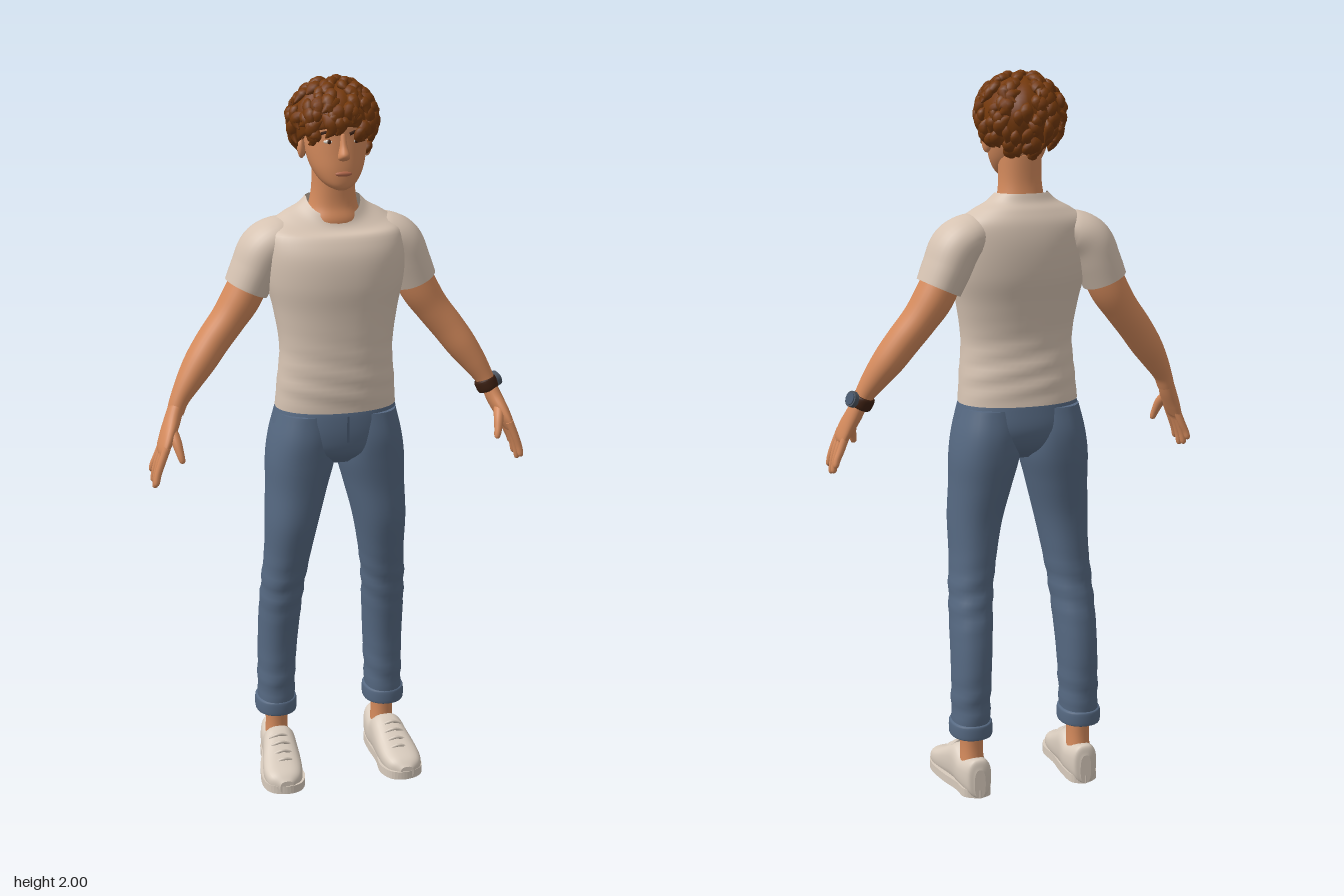
import * as THREE from 'three';

const V = (x, y, z) => new THREE.Vector3(x, y, z);
const mat = (name, color) => {
  const m = new THREE.MeshStandardMaterial({ color });
  m.name = name;
  return m;
};

// Smooth loft through rows [x, y, z, a, b, exponent]; b runs along ref, a across it.
// With axis the rings stay parallel, otherwise they follow the path.
function loft(rows, { axis, ref = V(0, 0, 1), sides = 28, steps = 6, caps = true, warp } = {}) {
  const path = new THREE.CatmullRomCurve3(rows.map(r => V(r[0], r[1], r[2])), false, 'catmullrom', 0.5);
  const size = new THREE.CatmullRomCurve3(rows.map(r => V(r[3], r[4], r[5] ?? 2)), false, 'catmullrom', 0.5);
  const n = (rows.length - 1) * steps, pos = [], idx = [];
  const along = axis?.clone();
  if (along && along.dot(path.points.at(-1).clone().sub(path.points[0])) < 0) along.negate();
  const bend = (c, e) => Math.sign(c) * Math.abs(c) ** (2 / e);
  for (let i = 0; i <= n; i++) {
    const c = path.getPoint(i / n), k = size.getPoint(i / n);
    const t = along ?? path.getTangent(i / n);
    const v = ref.clone().addScaledVector(t, -ref.dot(t)).normalize();
    const u = v.clone().cross(t);
    for (let j = 0; j < sides; j++) {
      const q = j / sides * Math.PI * 2;
      const p = c.clone().addScaledVector(u, k.x * bend(Math.cos(q), k.z)).addScaledVector(v, k.y * bend(Math.sin(q), k.z));
      if (warp) warp(p, c);
      pos.push(p.x, p.y, p.z);
      if (i < n) {
        const a = i * sides + j, b = i * sides + (j + 1) % sides;
        idx.push(a, b, b + sides, a, b + sides, a + sides);
      }
    }
  }
  if (caps) for (const end of [0, n]) {
    const base = pos.length / 3, c = path.getPoint(end / n);
    pos.push(...pos.slice(end * sides * 3, (end + 1) * sides * 3), c.x, c.y, c.z);
    for (let j = 0; j < sides; j++) {
      const a = base + j, b = base + (j + 1) % sides;
      idx.push(base + sides, ...(end ? [a, b] : [b, a]));
    }
  }
  const g = new THREE.BufferGeometry();
  g.setAttribute('position', new THREE.Float32BufferAttribute(pos, 3));
  g.setIndex(idx);
  g.computeVertexNormals();
  return g;
}

// Horizontal ring given by height, half width, front z and back z
const ring = (y, w, front, back, x = 0, e = 2.2) => [x, y, (front + back) / 2, w, (front - back) / 2, e];

export function createModel() {
  const model = new THREE.Group();
  const skin = mat('skin', 0xd48a5c), cloth = mat('shirt', 0xd6c3b2), denim = mat('denim', 0x566982);
  const hairMat = mat('hair', 0x74390c), shoeMat = mat('shoe', 0xd8cbbd), metal = mat('watch metal', 0x4c545f);
  const dark = mat('dark brown', 0x3c2012), white = mat('eye white', 0xe8e0d6), lip = mat('lips', 0xb4694c);
  const seam = mat('dark denim', 0x46566c);
  cloth.side = denim.side = THREE.DoubleSide;
  const UP = V(0, 1, 0);
  const add = (name, geo, m) => {
    const mesh = new THREE.Mesh(geo, m);
    mesh.name = name;
    model.add(mesh);
    return mesh;
  };
  const blob = (name, m, x, y, z, a, b, c) => {
    const mesh = add(name, new THREE.SphereGeometry(1, 20, 14), m);
    mesh.position.set(x, y, z);
    mesh.scale.set(a, b, c);
    return mesh;
  };
  const tube = (name, m, pts, r) => add(name, new THREE.TubeGeometry(new THREE.CatmullRomCurve3(pts), 10, r, 6), m);

  // Shirt body, with soft folds at the waist and a dipped neckline
  add('shirt', loft([
    ring(1.11, .168, .108, -.118), ring(1.18, .163, .112, -.11), ring(1.28, .156, .11, -.098),
    ring(1.38, .17, .112, -.112), ring(1.46, .188, .117, -.13), ring(1.54, .195, .108, -.136),
    ring(1.6, .187, .078, -.13), ring(1.637, .14, .055, -.115), ring(1.66, .098, .042, -.1), ring(1.682, .074, .034, -.092),
  ], {
    axis: UP, sides: 48, caps: false,
    warp: p => {
      const top = THREE.MathUtils.smoothstep(p.y, 1.58, 1.68);
      const fold = Math.exp(-(((p.y - 1.21) / .08) ** 2)) * .0025 * Math.sin(p.y * 110 + p.x * 18);
      p.z += Math.sign(p.z) * fold;
      p.y -= top * Math.max(0, p.z + .03) * .75;
    },
  }), cloth);

  // Neck and head
  add('neck', loft([ring(1.57, .085, .03, -.085), ring(1.62, .08, .04, -.092), ring(1.66, .066, .03, -.087),
    ring(1.71, .058, .03, -.08), ring(1.78, .058, .035, -.08)], { axis: UP }), skin);
  add('head', loft([
    ring(1.712, .016, .078, .03), ring(1.722, .036, .087, .005), ring(1.74, .054, .091, -.03), ring(1.77, .07, .092, -.065),
    ring(1.81, .08, .089, -.09), ring(1.85, .084, .086, -.1), ring(1.89, .085, .084, -.103), ring(1.93, .075, .065, -.095),
    ring(1.96, .045, .03, -.06),
  ], { axis: UP, sides: 36 }), skin);
  add('nose', loft([ring(1.86, .008, .089, .07), ring(1.83, .01, .1, .07), ring(1.808, .015, .113, .07),
    ring(1.796, .015, .106, .07), ring(1.79, .008, .09, .07)], { axis: UP, sides: 16 }), skin);
  blob('lips', lip, 0, 1.757, .088, .023, .0075, .008);
  for (const s of [1, -1]) {
    blob('ear', skin, s * .089, 1.815, -.015, .011, .029, .018).rotation.set(-.15, s * .35, 0);
    blob('eye', white, s * .036, 1.84, .074, .015, .0065, .007).rotation.y = s * .35;
    blob('iris', dark, s * .036, 1.84, .079, .0055, .006, .004);
    tube('brow', dark, [V(s * .015, 1.859, .088), V(s * .037, 1.866, .081), V(s * .06, 1.859, .065)], .004);
  }

  // Hair: wavy cap with a hairline that drops toward the nape
  let seed = 7;
  const rnd = () => (seed = seed * 16807 % 2147483647) / 2147483647;
  const lowest = az => (150 - 57 * (1 + Math.cos(az)) / 2) * Math.PI / 180;
  const scalp = (az, th, k) => V(-.004 + .107 * k * Math.sin(th) * Math.sin(az),
    1.885 + (th > 1.57 ? .115 : .1) * k * Math.cos(th), -.016 + .112 * k * Math.sin(th) * Math.cos(az));
  const cap = new THREE.SphereGeometry(1, 48, 24);
  const cp = cap.attributes.position, uv = cap.attributes.uv;
  for (let i = 0; i < cp.count; i++) {
    const az = uv.getX(i) * Math.PI * 2 - Math.PI / 2, v = 1 - uv.getY(i);
    const wave = 1 + .02 * Math.sin(az * 9 + v * 8) * Math.sin(v * Math.PI);
    const p = scalp(az + Math.PI, lowest(az + Math.PI) * Math.min(1, v * 1.04), v > .97 ? .72 : wave);
    cp.setXYZ(i, p.x, p.y, p.z);
  }
  // The sphere runs the other way round, so the winding is checked against the outside
  const ia = cap.index.array, [pa, pb, pc] = [0, 1, 2].map(k => V(0, 0, 0).fromBufferAttribute(cp, ia[1800 + k]));
  if (pb.clone().sub(pa).cross(pc.clone().sub(pa)).dot(pa.clone().sub(V(0, 1.885, -.016))) < 0)
    for (let i = 0; i < ia.length; i += 3) [ia[i], ia[i + 1]] = [ia[i + 1], ia[i]];
  cap.computeVertexNormals();
  add('hairCap', cap, hairMat);
  // Curled locks spread evenly over the cap
  for (let i = 0; i < 130; i++) {
    const az = i * 2.39996, end = lowest(az);
    const th = Math.acos(1 - (i + .5) / 130 * (1 - Math.cos(end))) - .12;
    const turn = (rnd() - .5) * 1.3, len = .3 + rnd() * .25, w = .012 + rnd() * .007;
    const rows = [0, .33, .66, 1].map((t, k) => {
      const p = scalp(az + turn * Math.sin(t * 2.6) * .6, Math.max(.04, Math.min(th + t * len, end + .12)) + k * .01,
        [.97, 1.05, 1.06, 1.03 + rnd() * .08][k]);
      return [p.x, p.y, p.z, [.004, 1, .95, .12][k] * w, [.003, .75, .7, .12][k] * w];
    });
    const m = scalp(az, th + len / 2, 1).sub(V(0, 1.885, -.016)).normalize();
    add('hairLock', loft(rows, { ref: m, sides: 8, steps: 3 }), hairMat);
  }

  // Hips and fly
  add('hips', loft([ring(1.14, .158, .1, -.11), ring(1.1, .169, .109, -.119), ring(1.04, .178, .11, -.124),
    ring(.99, .16, .098, -.105), ring(.955, .07, .06, -.06)], { axis: UP, sides: 40 }), denim);
  const fly = add('fly', new THREE.BoxGeometry(.006, .075, .006), seam);
  fly.position.set(.008, 1.065, .109);

  for (const s of [1, -1]) {
    const mirror = rows => rows.map(r => [r[0] * s, ...r.slice(1)]);
    const at = (x, y, z) => V(x * s, y, z);

    // Trouser leg with creases at knee and ankle
    add('trouserLeg', loft(mirror([
      ring(1.1, .08, .1, -.112, .087, 2.3), ring(1.03, .09, .108, -.126, .094, 2.3), ring(.96, .094, .104, -.125, .1, 2.3),
      ring(.88, .085, .097, -.114, .111), ring(.78, .074, .092, -.1, .126), ring(.68, .064, .07, -.1, .136),
      ring(.58, .06, .046, -.108, .147), ring(.48, .058, .026, -.13, .153), ring(.38, .055, .008, -.141, .157),
      ring(.28, .053, 0, -.14, .16), ring(.18, .052, -.006, -.136, .162),
    ]), {
      axis: UP, sides: 32,
      warp: (p, c) => {
        const k = Math.exp(-(((p.y - .57) / .07) ** 2)) + Math.exp(-(((p.y - .27) / .06) ** 2));
        const f = 1 + .035 * k * Math.sin(p.y * 95 + (p.x - c.x) * s * 25 + p.z * 12);
        p.x = c.x + (p.x - c.x) * f;
        p.z = c.z + (p.z - c.z) * f;
      },
    }), denim);
    add('cuff', loft(mirror([ring(.17, .054, -.006, -.137, .162), ring(.174, .059, -.001, -.142, .162),
      ring(.206, .059, -.001, -.142, .162), ring(.212, .053, -.006, -.137, .162)]), { axis: UP, steps: 4 }), denim);
    add('ankle', loft(mirror([ring(.07, .034, -.03, -.118, .16), ring(.13, .031, -.034, -.112, .16),
      ring(.2, .034, -.03, -.115, .161)]), { axis: UP }), skin);

    // Shoe: upper swept from heel to toe, sole and laces
    const upper = (z, x, w, h, e = 2.6) => [x, h / 2, z, w, h / 2, e];
    add('shoeUpper', loft(mirror([
      upper(-.149, .158, .016, .085), upper(-.14, .158, .034, .112), upper(-.11, .159, .042, .108), upper(-.07, .16, .045, .102),
      upper(-.03, .163, .048, .124), upper(.01, .167, .052, .108), upper(.05, .172, .056, .086), upper(.09, .176, .056, .068),
      upper(.125, .178, .046, .055), upper(.147, .178, .02, .038),
    ]), { axis: V(0, 0, 1), ref: UP }), shoeMat);
    const outline = new THREE.Shape(new THREE.SplineCurve([
      [.158, .15], [.122, .13], [.115, .06], [.118, -.02], [.113, -.09], [.135, -.138], [.178, -.15],
      [.222, -.13], [.236, -.08], [.225, 0], [.206, .07], [.198, .125], [.158, .15],
    ].map(([x, y]) => new THREE.Vector2(x * s, y))).getPoints(60));
    const sole = new THREE.ExtrudeGeometry(outline, { depth: .024, bevelEnabled: false });
    add('sole', sole.rotateX(-Math.PI / 2), shoeMat);
    [[.075, .074], [.05, .087], [.025, .102], [0, .114]].forEach(([z, y]) =>
      tube('lace', shoeMat, [at(.142, y - .01, z), at(.17, y + .002, z + .006), at(.198, y - .01, z)], .0045));

    // Sleeve and bare arm
    add('sleeve', loft(mirror([
      [.11, 1.578, -.04, .05, .065], [.15, 1.568, -.042, .062, .08], [.187, 1.54, -.045, .068, .084],
      [.212, 1.49, -.047, .065, .082], [.236, 1.437, -.048, .061, .077],
    ]), { sides: 32 }), cloth);
    add('arm', loft(mirror([
      [.215, 1.48, -.048, .052, .06], [.25, 1.41, -.048, .053, .062], [.287, 1.355, -.045, .048, .057],
      [.33, 1.3, -.038, .046, .054], [.37, 1.245, -.027, .043, .051], [.405, 1.195, -.014, .035, .041],
      [.433, 1.15, -.003, .026, .031], [.447, 1.115, .003, .023, .029],
    ])), skin);

    // Hand with four fingers and a thumb
    add('palm', loft(mirror([
      [.444, 1.13, .002, .021, .028], [.458, 1.095, .014, .022, .034], [.474, 1.06, .03, .02, .043],
      [.487, 1.03, .041, .016, .046], [.492, 1.012, .043, .01, .04],
    ])), skin);
    [[.006, -.002, .952], [.03, .026, .932], [.055, .056, .924], [.077, .086, .938]].forEach(([z0, z1, y]) =>
      add('finger', loft(mirror([
        [.483, 1.04, z0, .011, .011], [.499, 1, (z0 * 2 + z1) / 3, .0105, .0115], [.51, (1 + y) / 2, (z0 + z1 * 2) / 3, .0095, .0105],
        [.515, y + .007, z1, .008, .009], [.516, y, z1, .003, .003],
      ]), { sides: 12, steps: 4 }), skin));
    add('thumb', loft(mirror([
      [.466, 1.085, .03, .015, .016], [.456, 1.055, .062, .014, .015], [.449, 1.025, .08, .011, .012],
      [.444, 1.003, .088, .008, .009], [.443, .997, .089, .002, .002],
    ]), { sides: 14 }), skin);
  }

  // Watch on the left wrist: strap, case and dial
  add('watchStrap', loft([[.432, 1.148, -.004, .026, .031], [.434, 1.143, -.003, .031, .036],
    [.443, 1.121, .002, .03, .035], [.445, 1.116, .003, .024, .029]], { steps: 3 }), dark);
  const watch = new THREE.Group();
  watch.name = 'watch';
  [['watchCase', .022, .014, metal, 0], ['watchDial', .017, .004, seam, .008]].forEach(([name, r, h, m, y]) => {
    const part = new THREE.Mesh(new THREE.CylinderGeometry(r, r, h, 24), m);
    part.name = name;
    part.position.y = y;
    watch.add(part);
  });
  watch.position.set(.468, 1.142, -.012);
  watch.quaternion.setFromUnitVectors(UP, V(.87, .36, -.33).normalize());
  model.add(watch);
  return model;
}
